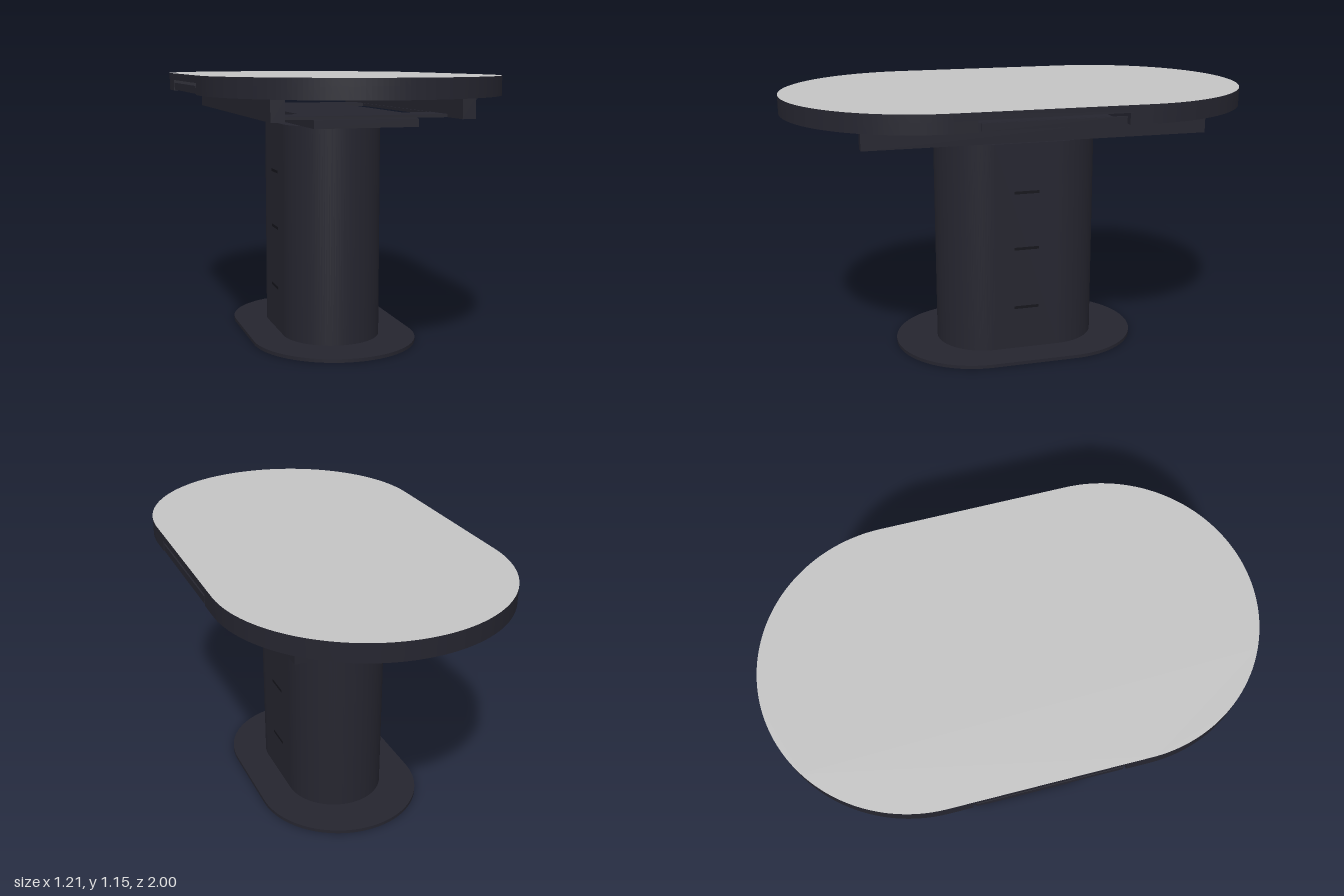
import * as THREE from 'three';

export function createModel() {
  const model = new THREE.Group();
  const mat = (name, color, side = THREE.FrontSide) => {
    const m = new THREE.MeshStandardMaterial({ color, side });
    m.name = name;
    return m;
  };
  const dark = mat('charcoal', 0x25252f);
  const light = mat('light grey top', 0xc4c4c4);
  const black = mat('black slot', 0x15151b);

  const add = (name, geometry, material) => {
    const mesh = new THREE.Mesh(geometry, material);
    mesh.name = name;
    model.add(mesh);
    return mesh;
  };
  const box = (name, [x0, x1], [y0, y1], [z0, z1], material = dark) =>
    add(name, new THREE.BoxGeometry(x1 - x0, y1 - y0, z1 - z0), material)
      .position.set((x0 + x1) / 2, (y0 + y1) / 2, (z0 + z1) / 2);

  // Plan outline with straight sides and round ends
  const stadium = (r, half) => {
    const s = new THREE.Shape();
    s.absarc(0, half - r, r, 0, Math.PI);
    s.absarc(0, r - half, r, Math.PI, Math.PI * 2);
    s.closePath();
    return s;
  };
  // One round end of that outline, cut off at a straight line
  const roundEnd = (r, half, cut) => {
    const s = new THREE.Shape();
    s.moveTo(-r, cut);
    s.lineTo(r, cut);
    s.absarc(0, half - r, r, 0, Math.PI);
    s.closePath();
    return s;
  };
  const slab = (name, shape, y0, y1, material = dark) => {
    const g = new THREE.ExtrudeGeometry(shape, { depth: y1 - y0, bevelEnabled: false, curveSegments: 48 });
    g.rotateX(-Math.PI / 2);
    const mesh = add(name, g, material);
    mesh.position.y = y0;
    return mesh;
  };

  // Foot and pedestal
  slab('basePlate', stadium(0.357, 0.543), 0, 0.015);
  slab('pedestal', stadium(0.213, 0.357), 0.015, 0.94);

  // Tabletop: light face, dark body and two ends leaving a cross channel
  slab('tabletopFace', stadium(0.605, 1), 1.146, 1.15, [light, dark]);
  slab('tabletopBody', stadium(0.605, 1), 1.12, 1.146);
  for (const turn of [0, Math.PI]) {
    slab('tabletopEnd', roundEnd(0.605, 1, 0.3), 1.073, 1.12).rotation.y = turn;
  }

  // Support frame: carrier plate with a window along each rail
  const frame = new THREE.Shape();
  frame.moveTo(-0.352, -0.575);
  frame.lineTo(0.352, -0.575);
  frame.lineTo(0.352, 0.575);
  frame.lineTo(-0.352, 0.575);
  for (const s of [-1, 1]) {
    const hole = new THREE.Path();
    hole.moveTo(s * 0.22, -0.42);
    hole.lineTo(s * 0.345, -0.42);
    hole.lineTo(s * 0.345, 0.42);
    hole.lineTo(s * 0.22, 0.42);
    hole.closePath();
    frame.holes.push(hole);
  }
  slab('carrierPlate', frame, 0.985, 0.998);
  box('mountingPlate', [-0.213, 0.213], [0.952, 0.985], [-0.617, 0.617]);

  // Mirrored rails, drawer fronts and pedestal grip slots
  for (const s of [-1, 1]) {
    const span = (a, b) => (s > 0 ? [a, b] : [-b, -a]);
    box('rail', span(0.352, 0.407), [0.985, 1.073], [-0.715, 0.715]);
    box('drawerFront', span(0.596, 0.604), [1.077, 1.108], [-0.288, 0.288]);
    for (const y of [0.2, 0.47, 0.72]) {
      box('gripSlot', span(0.21, 0.2145), [y, y + 0.012], [-0.055, 0.055], black);
    }
  }
  return model;
}
